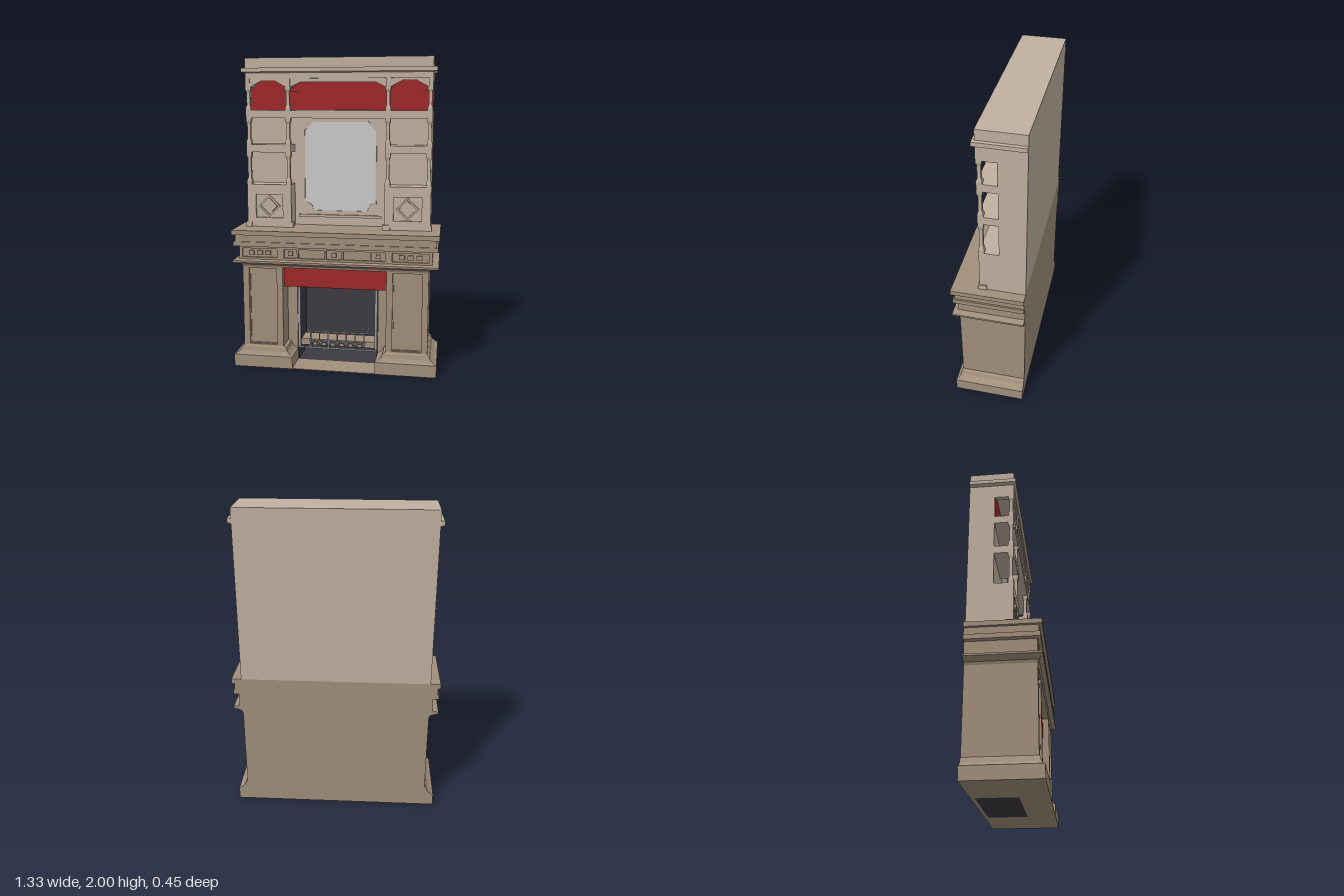
import * as THREE from 'three';

const mat = (color) => new THREE.MeshStandardMaterial({ color, flatShading: true });
const BACK = -0.225;

export function createModel() {
  const root = new THREE.Group();
  const stone = mat(0xa18f7b), wood = mat(0xc0b0a0), red = mat(0xa0282a);
  const dark = mat(0x3c3b41), metal = mat(0x9a9ca2), glass = mat(0xcccccc);

  const add = (name, geo, material) => {
    const m = new THREE.Mesh(geo, material);
    m.name = name;
    root.add(m);
    return m;
  };
  // Box given by its two extreme corners
  const box = (name, x0, x1, y0, y1, z0, z1, material) => {
    const m = add(name, new THREE.BoxGeometry(x1 - x0, y1 - y0, z1 - z0), material);
    m.position.set((x0 + x1) / 2, (y0 + y1) / 2, (z0 + z1) / 2);
    return m;
  };
  // Box on both sides of the centre
  const boxPair = (name, x0, x1, ...rest) => {
    box(name + 'Left', x0, x1, ...rest);
    box(name + 'Right', -x1, -x0, ...rest);
  };
  // Rectangular sections [x0, x1, zFront, y] stacked upwards, flush at the back
  const loft = (name, rings, material) => {
    const pos = [], idx = [], n = rings.length;
    for (const [x0, x1, z, y] of rings) pos.push(x0, y, z, x1, y, z, x1, y, BACK, x0, y, BACK);
    for (let i = 0; i < n - 1; i++) {
      for (let j = 0; j < 4; j++) {
        const a = i * 4 + j, b = i * 4 + (j + 1) % 4;
        idx.push(a, b, b + 4, a, b + 4, a + 4);
      }
    }
    const t = (n - 1) * 4;
    idx.push(t, t + 1, t + 2, t, t + 2, t + 3, 2, 1, 0, 3, 2, 0);
    const g = new THREE.BufferGeometry();
    g.setAttribute('position', new THREE.Float32BufferAttribute(pos, 3));
    g.setIndex(idx);
    const flat = g.toNonIndexed();
    flat.computeVertexNormals();
    return add(name, flat, material);
  };
  const pts = (list) => list.map(([x, y]) => new THREE.Vector2(x, y));
  const rect = (x0, x1, y0, y1) => [[x0, y0], [x1, y0], [x1, y1], [x0, y1]];
  // Plate from an outline with holes, between z0 and z1
  const plate = (name, outline, holes, z0, z1, material) => {
    const s = new THREE.Shape(pts(outline));
    for (const h of holes) s.holes.push(new THREE.Path(pts(h)));
    const m = add(name, new THREE.ExtrudeGeometry(s, { depth: z1 - z0, bevelEnabled: false }), material);
    m.position.z = z0;
    return m;
  };

  // Piers with flared plinths and sunken front panels
  const pier = [
    [0.27, 0.66, 0.225, 0], [0.27, 0.66, 0.225, 0.08], [0.285, 0.645, 0.212, 0.087],
    [0.305, 0.622, 0.202, 0.105], [0.315, 0.612, 0.197, 0.13], [0.335, 0.6, 0.19, 0.14],
    [0.335, 0.6, 0.172, 0.14], [0.335, 0.6, 0.172, 0.68],
  ];
  loft('pierLeft', pier, stone);
  loft('pierRight', pier.map(([a, b, z, y]) => [-b, -a, z, y]), stone);
  for (const s of [-1, 1]) {
    const c = s * 0.4675;
    plate('pierFace', rect(c - 0.1325, c + 0.1325, 0.14, 0.68),
      [rect(c - 0.0925, c + 0.0925, 0.148, 0.66)], 0.172, 0.19, stone);
    plate('pierPanelBead', rect(c - 0.0925, c + 0.0925, 0.148, 0.66),
      [rect(c - 0.086, c + 0.086, 0.155, 0.653)], 0.172, 0.18, stone);
  }

  // Chimney back, jambs and lintel around the firebox
  box('lowerBack', -0.335, 0.335, 0, 0.68, BACK, -0.2, stone);
  boxPair('jamb', 0.27, 0.335, 0, 0.54, -0.2, 0.05, stone);
  box('lintel', -0.335, 0.335, 0.54, 0.68, -0.2, 0.13, stone);
  box('pelmet', -0.335, 0.335, 0.535, 0.672, 0.13, 0.15, red);
  box('fireboxBack', -0.27, 0.27, 0, 0.54, -0.2, -0.195, dark);
  boxPair('fireboxSide', 0.262, 0.272, 0, 0.54, -0.2, 0.04, dark);
  box('fireboxCeiling', -0.27, 0.27, 0.534, 0.542, -0.2, 0.04, dark);
  box('fireboxFloor', -0.27, 0.27, 0, 0.004, -0.2, 0.05, dark);
  box('hearth', -0.27, 0.27, 0, 0.004, 0.05, 0.225, stone);

  // Fire grate with upright bars and a band of rings
  boxPair('grateFrame', 0.249, 0.266, 0.09, 0.535, 0.04, 0.055, metal);
  for (const [y, w, h] of [[0.095, 0.262, 0.01], [0.14, 0.19, 0.006], [0.21, 0.205, 0.008]]) {
    box('grateRail', -w, w, y - h / 2, y + h / 2, 0.055, 0.065, metal);
  }
  for (let i = 0; i < 7; i++) {
    const x = (i - 3) * 0.06;
    box('grateBar', x - 0.004, x + 0.004, 0.095, 0.21, 0.056, 0.064, metal);
    if (i < 6) {
      const ring = add('grateRing', new THREE.TorusGeometry(0.019, 0.003, 4, 10), metal);
      ring.position.set(x + 0.03, 0.118, 0.06);
    }
  }
  boxPair('grateSideRail', 0.196, 0.204, 0.206, 0.214, -0.08, 0.065, metal);
  box('grateTray', -0.25, 0.25, 0.1, 0.142, -0.1, 0.03, stone);

  // Mantel: bed moulding, frieze and stepped shelf
  const mantel = [
    [0.6, 0.19, 0.668], [0.607, 0.197, 0.685], [0.625, 0.208, 0.692], [0.66, 0.222, 0.7],
    [0.66, 0.222, 0.712], [0.62, 0.19, 0.72], [0.62, 0.178, 0.72], [0.62, 0.178, 0.805],
    [0.655, 0.212, 0.805], [0.655, 0.212, 0.835], [0.645, 0.203, 0.835], [0.645, 0.203, 0.88],
    [0.663, 0.222, 0.88], [0.663, 0.222, 0.91],
  ];
  loft('mantel', mantel.map(([w, z, y]) => [-w, w, z, y]), stone);
  const friezeHoles = [[-0.05, 0.05]];
  for (const [a, b] of [[0.06, 0.23], [0.24, 0.325], [0.37, 0.6]]) friezeHoles.push([a, b], [-b, -a]);
  plate('frieze', rect(-0.62, 0.62, 0.718, 0.806),
    friezeHoles.map(([a, b]) => rect(a, b, 0.733, 0.79)), 0.178, 0.192, stone);
  for (const [x, w] of [[0, 0.015], [0.282, 0.015], [0.43, 0.018], [0.485, 0.018], [0.54, 0.018]]) {
    for (const s of x ? [-1, 1] : [1]) {
      box('friezeBlock', s * x - w, s * x + w, 0.748, 0.776, 0.178, 0.19, stone);
    }
  }

  // Overmantel back wall with cresting
  box('upperWall', -0.6, 0.6, 0.91, 1.92, BACK, -0.065, wood);
  box('topBeam', -0.6, 0.6, 1.87, 1.91, -0.07, 0.055, wood);
  loft('cornice', [
    [-0.6, 0.6, 0.055, 1.905], [-0.623, 0.623, 0.07, 1.912], [-0.623, 0.623, 0.07, 1.937],
    [-0.6, 0.6, 0.055, 1.937], [-0.6, 0.6, 0.055, 2],
  ], wood);
  box('redBacking', -0.57, 0.57, 1.67, 1.87, -0.066, -0.062, red);
  boxPair('redBackingEdge', 0.57, 0.598, 1.67, 1.815, -0.066, -0.062, red);

  // Mirror with cut corners, its rim and the ledge below
  const mirror = (d) => {
    const half = [[0.18 + d * 0.4, 1.01 - d], [0.185 + d, 1.04], [0.205, 1.058 - d],
      [0.235 + d, 1.065 - d], [0.235 + d, 1.54 + d * 0.4], [0.18 + d * 0.4, 1.595 + d]];
    return [...half, ...half.map(([x, y]) => [-x, y]).reverse()];
  };
  plate('mirror', mirror(0), [], -0.066, -0.061, glass);
  plate('mirrorRim', mirror(0.006), [mirror(0)], -0.066, -0.056, wood);
  box('mirrorLedge', -0.277, 0.277, 0.965, 0.982, -0.066, -0.05, wood);

  // Side tower pedestals with a diamond in a sunken square
  const diamond = (x, y, r) => [[x - r, y], [x, y - r], [x + r, y], [x, y + r]];
  for (const s of [-1, 1]) {
    const c = s * 0.4525;
    box('pedestal', c - 0.1475, c + 0.1475, 0.91, 1.19, -0.066, 0.042, wood);
    plate('pedestalFace', rect(c - 0.1475, c + 0.1475, 0.91, 1.19),
      [rect(c - 0.09, c + 0.09, 0.97, 1.124)], 0.042, 0.055, wood);
    plate('diamondFrame', diamond(c, 1.047, 0.074), [diamond(c, 1.047, 0.058)], 0.042, 0.055, wood);
    plate('diamondCentre', diamond(c, 1.047, 0.052), [], 0.042, 0.05, wood);
  }
  boxPair('outerFoot', 0.57, 0.608, 0.91, 0.942, 0.01, 0.064, wood);
  boxPair('innerFoot', 0.293, 0.342, 0.91, 0.942, 0.01, 0.064, wood);

  // Shelves
  boxPair('towerShelf', 0.305, 0.6, 1.4, 1.45, -0.066, 0.055, wood);
  box('longShelf', -0.6, 0.6, 1.62, 1.67, -0.066, 0.055, wood);

  // Square waisted posts between the shelves
  const post = (x, y0, y1) => {
    const h = y1 - y0, e = 0.017, m = 0.0105;
    const profile = [[e, 0], [e, 0.1], [m, 0.22], [m, 0.78], [e, 0.9], [e, 1]]
      .map(([r, t]) => new THREE.Vector2(r * Math.SQRT2, t * h));
    const g = new THREE.LatheGeometry(profile, 4);
    g.rotateY(Math.PI / 4);
    add('post', g, wood).position.set(x, y0, 0.038);
  };
  for (const s of [-1, 1]) {
    for (const [y0, y1] of [[1.19, 1.4], [1.45, 1.62], [1.67, 1.815]]) {
      post(s * 0.583, y0, y1);
      post(s * 0.322, y0, y1);
    }
  }

  // Spandrel plates with cut-cornered arches, rims and closed tower sides
  const spandrel = (c, w, flat, spring, top) => {
    const arch = [[c - w, 1.8], [c + w, 1.8], [c + w, spring], [c + flat, top], [c - flat, top], [c - w, spring]];
    plate('spandrel', rect(c - w - 0.012, c + w + 0.012, 1.79, 1.88),
      [arch.map(([x, y], i) => [x, i < 2 ? 1.7901 : y])], 0.032, 0.046, wood);
  };
  spandrel(0, 0.305, 0.24, 1.815, 1.846);
  for (const s of [-1, 1]) spandrel(s * 0.4525, 0.118, 0.045, 1.815, 1.855);
  boxPair('sideHead', 0.572, 0.6, 1.815, 1.9, -0.066, 0.055, wood);
  boxPair('innerHead', 0.307, 0.337, 1.815, 1.9, -0.066, 0.055, wood);

  return root;
}
